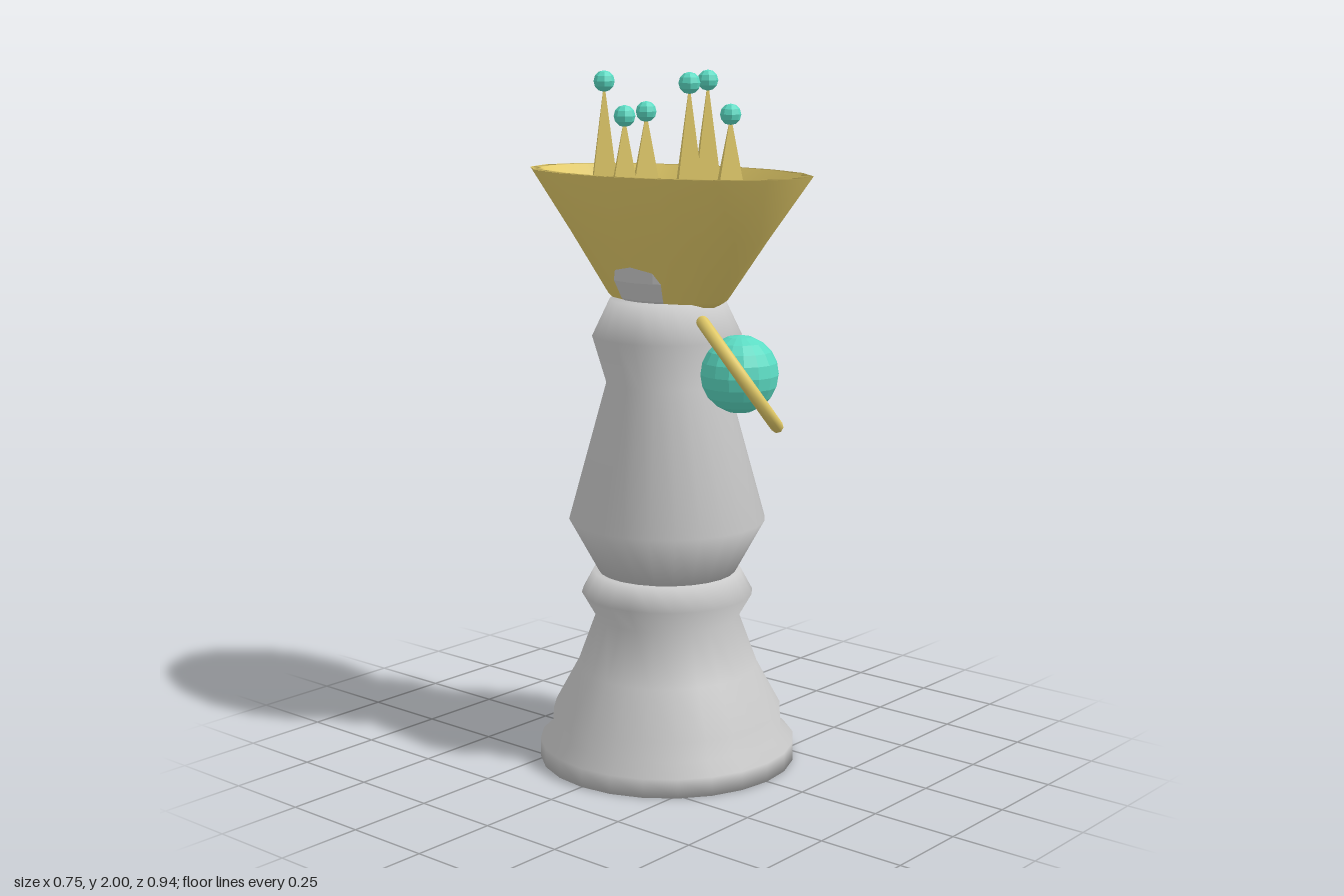
import * as THREE from 'three';

const grey = new THREE.MeshStandardMaterial({ color: 0xcccccc });
const greyFlat = new THREE.MeshStandardMaterial({ color: 0xcccccc, flatShading: true });
const gold = new THREE.MeshStandardMaterial({ color: 0xe3cb69, side: THREE.DoubleSide });
const goldFlat = new THREE.MeshStandardMaterial({ color: 0xe3cb69, flatShading: true });
const teal = new THREE.MeshStandardMaterial({ color: 0x5cdcc4, flatShading: true });

export function createModel() {
  const model = new THREE.Group();

  const add = (name, geometry, material, x = 0, y = 0, z = 0) => {
    const mesh = new THREE.Mesh(geometry, material);
    mesh.name = name;
    mesh.position.set(x, y, z);
    model.add(mesh);
    return mesh;
  };
  const lathe = (points, sides) =>
    new THREE.LatheGeometry(points.map(([r, y]) => new THREE.Vector2(r, y)), sides);

  // Turned pedestal with a flared foot and a collar
  add('base', lathe([
    [0, 0], [0.375, 0], [0.375, 0.055], [0.338, 0.09], [0.335, 0.15], [0.265, 0.28],
    [0.21, 0.43], [0.25, 0.5], [0.215, 0.565], [0, 0.57],
  ], 24), grey);

  // Robed body: wide belly, narrow waist, shoulders
  add('body', lathe([
    [0, 0.565], [0.2, 0.565], [0.285, 0.72], [0.175, 1.12], [0.215, 1.255], [0.165, 1.36], [0, 1.362],
  ], 24), grey);

  // Head, a little narrower from side to side
  add('head', new THREE.SphereGeometry(0.185, 16, 10), greyFlat, 0, 1.475, 0).scale.x = 0.87;

  // Oval crown bowl: outer wall, rim, inner wall
  add('crown', lathe([
    [0, 1.34], [0.16, 1.34], [0.2, 1.365], [0.33, 1.54], [0.47, 1.72],
    [0.43, 1.72], [0.31, 1.56], [0.17, 1.39], [0, 1.38],
  ], 16), gold).scale.x = 0.585;

  // Six crown spikes, tall and short in turn, each tipped with a bead
  const baseY = 1.68;
  for (let i = 0; i < 6; i++) {
    const angle = (i * Math.PI) / 3;
    const x = 0.18 * Math.cos(angle), z = 0.18 * Math.sin(angle);
    const tip = i % 2 ? 1.88 : 1.97;
    add('crownSpike', new THREE.ConeGeometry(0.05, tip - baseY, 4), goldFlat, x, (tip + baseY) / 2, z);
    add('crownBead', new THREE.SphereGeometry(0.03, 8, 6), teal, x, tip, z);
  }

  // Chest orb inside a three-quarter ring that is tilted toward (1, 1, 1)
  const orb = [0, 1.17, 0.265];
  add('orb', new THREE.SphereGeometry(0.11, 16, 10), teal, ...orb);
  const ring = add('orbRing', new THREE.TorusGeometry(0.18, 0.018, 8, 36, Math.PI * 1.5), gold, ...orb);
  ring.quaternion.setFromRotationMatrix(new THREE.Matrix4().makeBasis(
    new THREE.Vector3(-1, 2, -1).normalize(),
    new THREE.Vector3(-1, 0, 1).normalize(),
    new THREE.Vector3(1, 1, 1).normalize(),
  ));

  // Rounded ring ends
  for (const dir of [new THREE.Vector3(-1, 2, -1), new THREE.Vector3(1, 0, -1)]) {
    const end = dir.setLength(0.18).add(ring.position);
    add('ringEnd', new THREE.SphereGeometry(0.018, 8, 6), gold, end.x, end.y, end.z);
  }

  return model;
}
